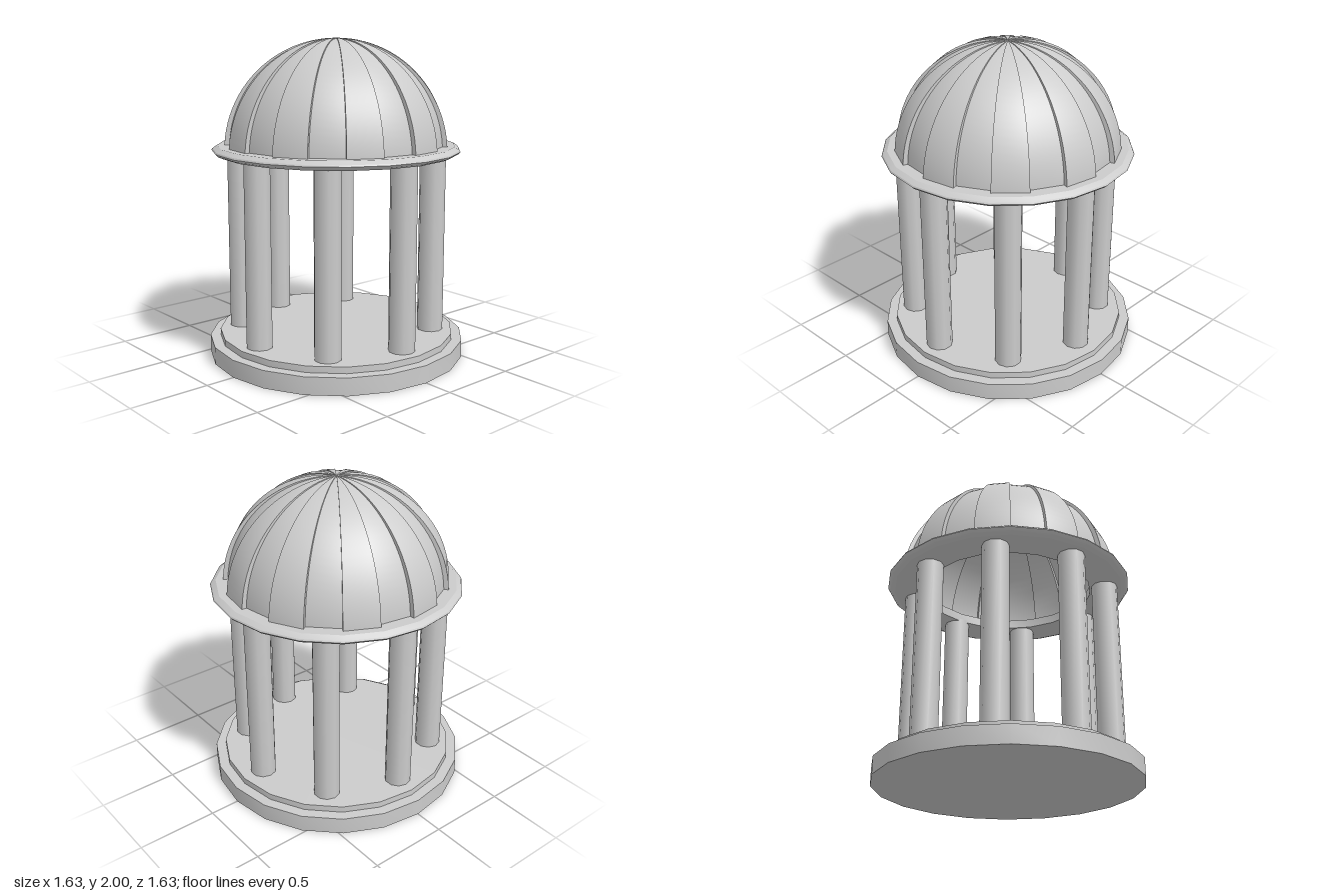
import * as THREE from 'three';
import { toCreasedNormals } from 'three/addons/utils/BufferGeometryUtils.js';

const SIDES = 20;
const STEP = (Math.PI * 2) / SIDES;

export function createModel() {
  const root = new THREE.Group();
  root.name = 'domedPavilion';
  const stone = new THREE.MeshStandardMaterial({ color: 0xcccccc });
  const thin = new THREE.MeshStandardMaterial({ color: 0xcccccc, side: THREE.DoubleSide });

  const add = (name, geometry, material = stone, parent = root) => {
    const mesh = new THREE.Mesh(geometry, material);
    mesh.name = name;
    parent.add(mesh);
    return mesh;
  };

  // Turned parts share the same 20-sided outline
  const turned = (points) => toCreasedNormals(
    new THREE.LatheGeometry(points.map(([r, y]) => new THREE.Vector2(r, y)), SIDES), 0.4);

  // Stepped floor
  add('base', turned([[0, 0], [0.815, 0], [0.815, 0.11], [0, 0.11]]));
  add('floorStep', turned([[0, 0.11], [0.75, 0.11], [0.75, 0.15], [0, 0.15]]));

  // Ring of eight columns
  const columns = new THREE.Group();
  columns.name = 'columns';
  columns.position.set(-0.01, 0, 0.005);
  root.add(columns);
  const shaft = new THREE.CylinderGeometry(0.082, 0.082, 1.16, 10);
  for (let i = 0; i < 8; i++) {
    const a = (i * Math.PI) / 4;
    add('column', shaft, stone, columns)
      .position.set(Math.sin(a) * 0.61, 0.72, Math.cos(a) * 0.61);
  }

  // Moulded ring carrying the dome
  add('entablatureRing', turned([
    [0.53, 1.285], [0.735, 1.285], [0.765, 1.298], [0.78, 1.313], [0.775, 1.323],
    [0.745, 1.343], [0.53, 1.343], [0.53, 1.285],
  ]));

  // Dome of alternating raised and recessed gores
  const dome = new THREE.Group();
  dome.name = 'dome';
  root.add(dome);
  const arc = (radius, height) => Array.from({ length: 25 }, (_, i) => {
    const t = (i / 24) * Math.PI / 2;
    return new THREE.Vector2(i === 24 ? 0 : radius * Math.cos(t), 1.3 + height * Math.sin(t));
  });
  const raised = arc(0.7, 0.7);
  const recessed = arc(0.67, 0.695);
  const edgeShape = new THREE.Shape([...raised, ...recessed.slice().reverse()]);
  for (let i = 0; i < SIDES; i++) {
    const a = i * STEP;
    const isRaised = i % 2 === 0;
    add(isRaised ? 'raisedGore' : 'recessedGore',
      new THREE.LatheGeometry(isRaised ? raised : recessed, 1, a, STEP), thin, dome);
    // Side wall closing the step between neighbouring gores
    add('goreEdge', new THREE.ShapeGeometry(edgeShape).rotateY(a - Math.PI / 2), thin, dome);
  }

  return root;
}
